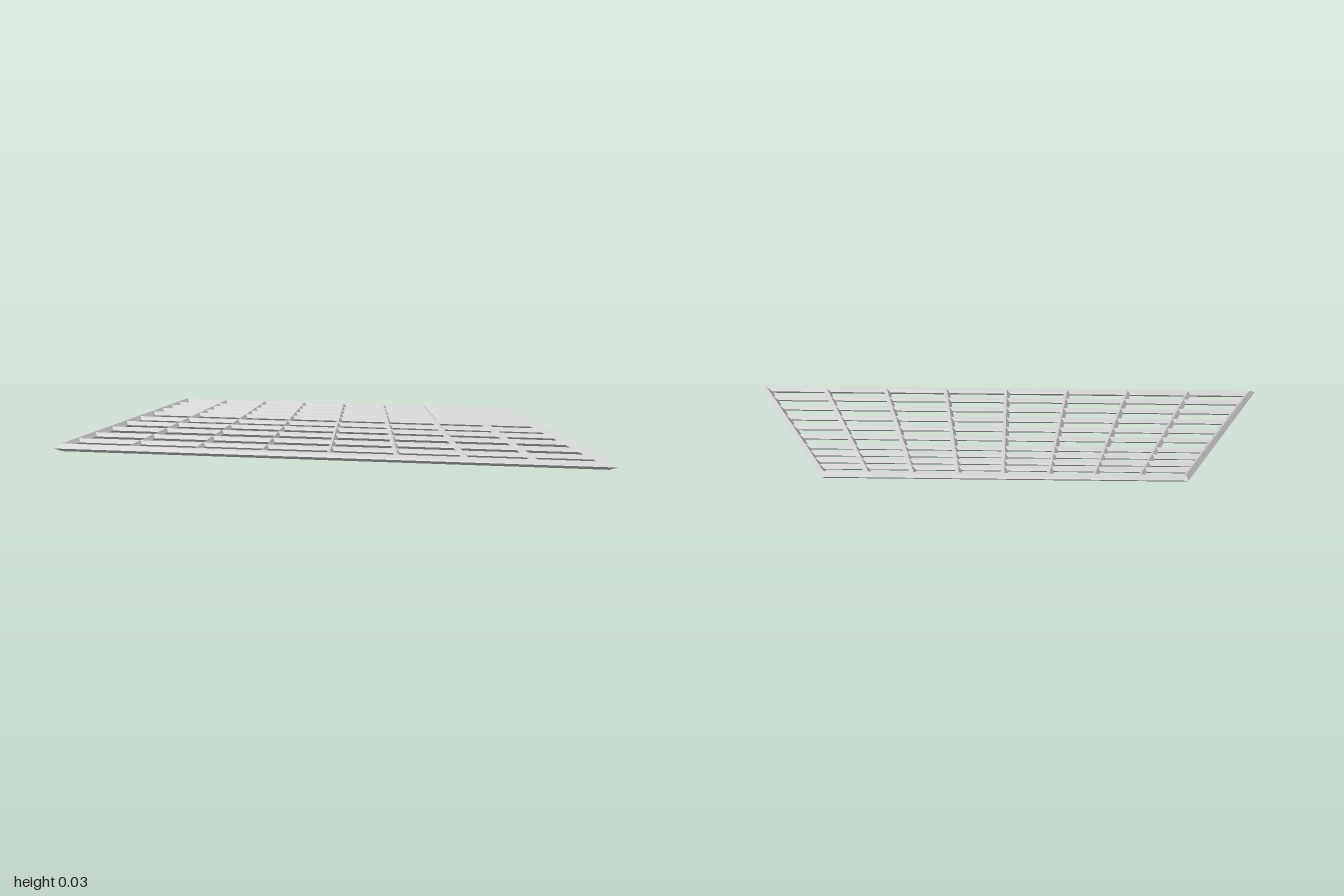
import * as THREE from 'three';

const MID = 0.015;          // height of every bar's centre line
const FRAME_R = 0.015;      // half thickness of the outer frame
const BAR_R = 0.0125;       // half thickness of the inner bars
const FRONT = 0.29, FRONT_X = 0.974, BACK_X = 0.646;

const material = new THREE.MeshStandardMaterial({ color: 0xcccccc, flatShading: true });

// Half width of the trapezoid at depth z
const halfWidth = z => THREE.MathUtils.mapLinear(z, -FRONT, FRONT, BACK_X, FRONT_X);

// Diamond-section bar from a to b ([x, z]); ma and mb are the sideways half widths at its ends
function bar(name, a, b, ma, mb, r) {
  const ring = ([x, z], [mx, mz]) => [
    [x + mx, MID, z + mz], [x, MID + r, z], [x - mx, MID, z - mz], [x, MID - r, z],
  ];
  const ra = ring(a, ma), rb = ring(b, mb), pos = [];
  for (let i = 0; i < 4; i++) {
    const j = (i + 1) % 4;
    pos.push(...ra[i], ...ra[j], ...rb[j], ...ra[i], ...rb[j], ...rb[i]);
  }
  // End caps
  for (const [i, j, k] of [[0, 1, 2], [0, 2, 3]]) {
    pos.push(...rb[i], ...rb[j], ...rb[k], ...ra[i], ...ra[k], ...ra[j]);
  }
  const geometry = new THREE.BufferGeometry();
  geometry.setAttribute('position', new THREE.Float32BufferAttribute(pos, 3));
  geometry.computeVertexNormals();
  const mesh = new THREE.Mesh(geometry, material);
  mesh.name = name;
  return mesh;
}

export function createModel() {
  const model = new THREE.Group();
  model.name = 'grating';

  // Outer frame, mitred at its four corners
  const frame = new THREE.Group();
  frame.name = 'frame';
  const corners = [[FRONT_X, FRONT], [-FRONT_X, FRONT], [-BACK_X, -FRONT], [BACK_X, -FRONT]];
  const mitres = [[0.026, FRAME_R], [-0.026, FRAME_R], [-0.009, -FRAME_R], [0.009, -FRAME_R]];
  ['frontRail', 'rightRail', 'backRail', 'leftRail'].forEach((name, i) => {
    const j = (i + 1) % 4;
    frame.add(bar(name, corners[i], corners[j], mitres[i], mitres[j], FRAME_R));
  });

  // Cross bars, closer together towards the back
  const crossBars = new THREE.Group();
  crossBars.name = 'crossBars';
  for (const z of [-0.243, -0.204, -0.16, -0.115, -0.05, 0.013, 0.08, 0.152, 0.222]) {
    const w = halfWidth(z), m = [0, -BAR_R];
    crossBars.add(bar('crossBar', [-w, z], [w, z], m, m, BAR_R));
  }

  // Long bars fanning out from back to front
  const fanBars = new THREE.Group();
  fanBars.name = 'fanBars';
  for (let i = -3; i <= 3; i++) {
    const xb = BACK_X * i / 4, xf = FRONT_X * i / 4;
    const length = Math.hypot(xf - xb, 2 * FRONT);
    const m = [BAR_R * 2 * FRONT / length, -BAR_R * (xf - xb) / length];
    fanBars.add(bar('fanBar', [xb, -FRONT], [xf, FRONT], m, m, BAR_R));
  }

  model.add(frame, crossBars, fanBars);
  return model;
}
